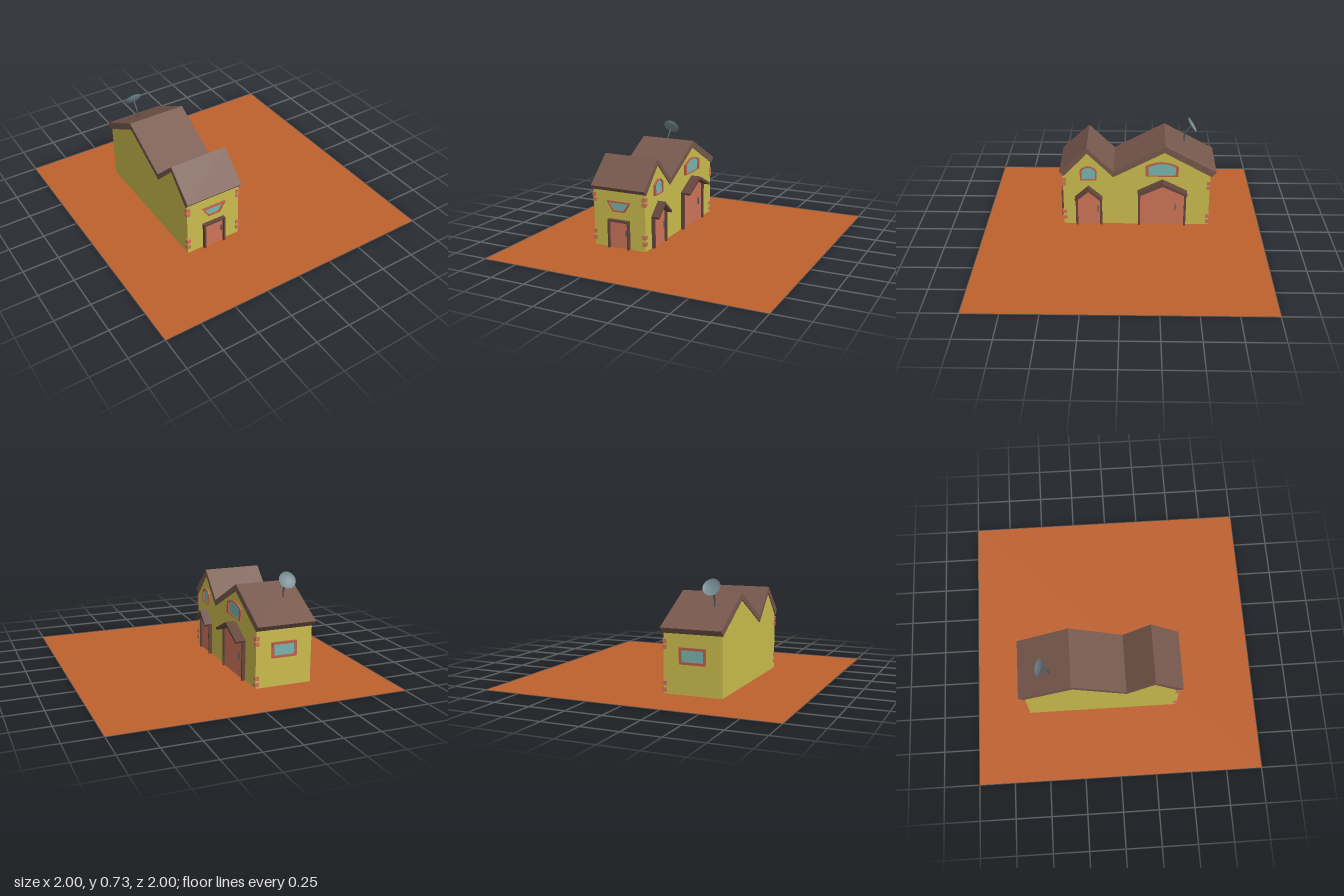
import * as THREE from 'three';

const mat = (name, color) => {
  const m = new THREE.MeshStandardMaterial({ color });
  m.name = name;
  return m;
};

export function createModel() {
  const house = new THREE.Group();
  house.name = 'house';
  const M = {
    ground: mat('ground orange', 0xbe602d),
    wall: mat('wall yellow', 0xcbbd4e),
    roof: mat('roof brown', 0x77584d),
    frame: mat('dark brown frame', 0x65463c),
    door: mat('door orange', 0xcf7558),
    trim: mat('window trim red', 0xbd6148),
    glass: mat('window glass', 0x79b5ae),
    metal: mat('grey metal', 0x738a92),
    pole: mat('dark metal', 0x4c585c),
  };
  M.ground.side = M.metal.side = THREE.DoubleSide;

  const add = (name, geo, material, parent = house) => {
    const m = new THREE.Mesh(geo, material);
    m.name = name;
    parent.add(m);
    return m;
  };
  // box given by its min and max corners
  const box = (name, a, b, material, parent) => {
    const g = new THREE.BoxGeometry(b[0] - a[0], b[1] - a[1], b[2] - a[2]);
    g.translate((a[0] + b[0]) / 2, (a[1] + b[1]) / 2, (a[2] + b[2]) / 2);
    return add(name, g, material, parent);
  };
  const shapeOf = (pts) => new THREE.Shape(pts.map((p) => new THREE.Vector2(p[0], p[1])));
  const extrude = (shape, depth) =>
    new THREE.ExtrudeGeometry(shape, { depth, bevelEnabled: false, curveSegments: 12 });
  // (z, y) outline extruded from x0 to x1
  const alongX = (name, pts, x0, x1, material, parent, hole) => {
    const flip = (list) => list.map(([z, y]) => [-z, y]);
    const s = shapeOf(flip(pts));
    if (hole) s.holes.push(shapeOf(flip(hole)));
    return add(name, extrude(s, x1 - x0).rotateY(Math.PI / 2).translate(x0, 0, 0), material, parent);
  };

  // ground
  add('ground', new THREE.PlaneGeometry(2, 2).rotateX(-Math.PI / 2), M.ground);

  // walls and the zigzag double roof
  alongX('walls', [[0.43, 0.001], [0.43, 0.405], [0.253, 0.585], [0.067, 0.4], [-0.298, 0.595],
    [-0.63, 0.405], [-0.63, 0.001]], -0.5, -0.1, M.wall);
  alongX('roof', [[0.455, 0.43], [0.255, 0.615], [0.065, 0.432], [-0.305, 0.632], [-0.673, 0.432],
    [-0.64, 0.395], [-0.298, 0.585], [0.067, 0.39], [0.253, 0.575], [0.425, 0.395]],
    -0.507, -0.093, M.roof);

  // corner stones wrapping three of the four corners
  const stones = (x, z, rows) => {
    const sx = x < -0.3 ? 1 : -1;
    const sz = z > 0 ? -1 : 1;
    for (const y of rows) {
      const xs = [x - sx * 0.006, x + sx * 0.022].sort((a, b) => a - b);
      const zs = [z - sz * 0.006, z + sz * 0.022].sort((a, b) => a - b);
      box('cornerStone', [xs[0], y, zs[0]], [xs[1], y + 0.028, zs[1]], M.door);
    }
  };
  const frontRows = [0.04, 0.087, 0.317, 0.353];
  stones(-0.5, 0.43, frontRows);
  stones(-0.1, 0.43, frontRows);
  stones(-0.1, -0.63, [0.014, 0.057, 0.29, 0.327]);

  // front door with frame and handle
  const frontDoor = new THREE.Group();
  frontDoor.name = 'frontDoor';
  house.add(frontDoor);
  box('doorPanel', [-0.37, 0.001, 0.425], [-0.23, 0.19, 0.437], M.door, frontDoor);
  box('leftJamb', [-0.23, 0.001, 0.425], [-0.218, 0.195, 0.455], M.frame, frontDoor);
  box('rightJamb', [-0.382, 0.001, 0.425], [-0.37, 0.195, 0.455], M.frame, frontDoor);
  box('lintel', [-0.382, 0.19, 0.425], [-0.218, 0.205, 0.455], M.frame, frontDoor);
  box('handle', [-0.247, 0.095, 0.435], [-0.239, 0.138, 0.447], M.pole, frontDoor);

  // trapezoid front window
  const trapezoid = (d, e) => [[-0.345 + d, 0.262 + e], [-0.255 - d, 0.262 + e],
    [-0.21 - d * 1.8, 0.334 - e], [-0.39 + d * 1.8, 0.334 - e]];
  const frontFrame = shapeOf(trapezoid(0, 0));
  frontFrame.holes.push(shapeOf(trapezoid(0.008, 0.009)));
  add('frontWindowFrame', extrude(frontFrame, 0.02).translate(0, 0, 0.425), M.trim);
  add('frontWindowGlass', extrude(shapeOf(trapezoid(0.004, 0.005)), 0.007).translate(0, 0, 0.427), M.glass);

  // rectangular back window
  const rect = (d) => [[-0.39 + d, 0.2 + d], [-0.21 - d, 0.2 + d], [-0.21 - d, 0.308 - d], [-0.39 + d, 0.308 - d]];
  const backFrame = shapeOf(rect(0));
  backFrame.holes.push(shapeOf(rect(0.016)));
  add('backWindowFrame', extrude(backFrame, 0.015).translate(0, 0, -0.641), M.trim);
  add('backWindowGlass', extrude(shapeOf(rect(0.01)), 0.008).translate(0, 0, -0.635), M.glass);

  // arched side windows
  const arch = (zc, half, y0, spring, rise) => {
    const pts = [[zc + half, y0], [zc - half, y0]];
    for (let i = 0; i <= 10; i++) {
      const t = -1 + i / 5;
      pts.push([zc + half * t, spring + rise * (1 - t * t)]);
    }
    return pts;
  };
  const archWindow = (name, zc, half, y0, spring, rise, side) => {
    const inner = arch(zc, half - side, y0 + 0.006, spring - 0.003, rise - 0.005);
    alongX(name + 'Frame', arch(zc, half, y0, spring, rise), -0.105, -0.086, M.trim, house, inner);
    alongX(name + 'Glass', inner, -0.103, -0.095, M.glass);
  };
  archWindow('frontSideWindow', 0.246, 0.06, 0.366, 0.443, 0.032, 0.011);
  archWindow('backSideWindow', -0.283, 0.118, 0.4, 0.478, 0.032, 0.02);

  // gabled side doors: panel, jambs, small porch roof and handle
  const sideDoor = (name, zc, half, eave, peak, roofX, handleZ, handleY) => {
    const g = new THREE.Group();
    g.name = name;
    house.add(g);
    const h = half - 0.012;
    alongX('doorPanel', [[zc + h, 0.001], [zc + h, eave - 0.003], [zc, peak - 0.02],
      [zc - h, eave - 0.003], [zc - h, 0.001]], -0.105, -0.092, M.door, g);
    for (const s of [-1, 1]) {
      const zs = [zc + s * (h - 0.007), zc + s * (half - 0.004)].sort((a, b) => a - b);
      box('jamb', [-0.105, 0.001, zs[0]], [-0.077, eave + 0.003, zs[1]], M.frame, g);
    }
    alongX('porchRoof', [[zc + half, eave], [zc, peak], [zc - half, eave], [zc - half + 0.007, eave - 0.014],
      [zc, peak - 0.024], [zc + half - 0.007, eave - 0.014]], -0.105, roofX, M.frame, g);
    box('handle', [-0.094, handleY - 0.024, handleZ - 0.004], [-0.082, handleY + 0.024, handleZ + 0.004], M.pole, g);
  };
  sideDoor('smallSideDoor', 0.245, 0.1, 0.228, 0.317, -0.042, 0.18, 0.13);
  sideDoor('wideSideDoor', -0.288, 0.178, 0.282, 0.372, -0.027, -0.383, 0.152);

  // satellite dish on a bent pole, facing up and backwards
  const dish = new THREE.Group();
  dish.name = 'satelliteDish';
  house.add(dish);
  const bend = new THREE.CatmullRomCurve3([[0.53, -0.45], [0.585, -0.45], [0.615, -0.457], [0.668, -0.493]]
    .map(([y, z]) => new THREE.Vector3(-0.375, y, z)));
  add('pole', new THREE.TubeGeometry(bend, 16, 0.006, 8), M.pole, dish);
  const bowl = [[0, 0], [0.03, 0.003], [0.05, 0.009], [0.06, 0.015]].map((p) => new THREE.Vector2(...p));
  const reflector = add('reflector', new THREE.LatheGeometry(bowl, 24), M.metal, dish);
  reflector.position.set(-0.375, 0.674, -0.493);
  reflector.rotation.x = -1.0;

  return house;
}
